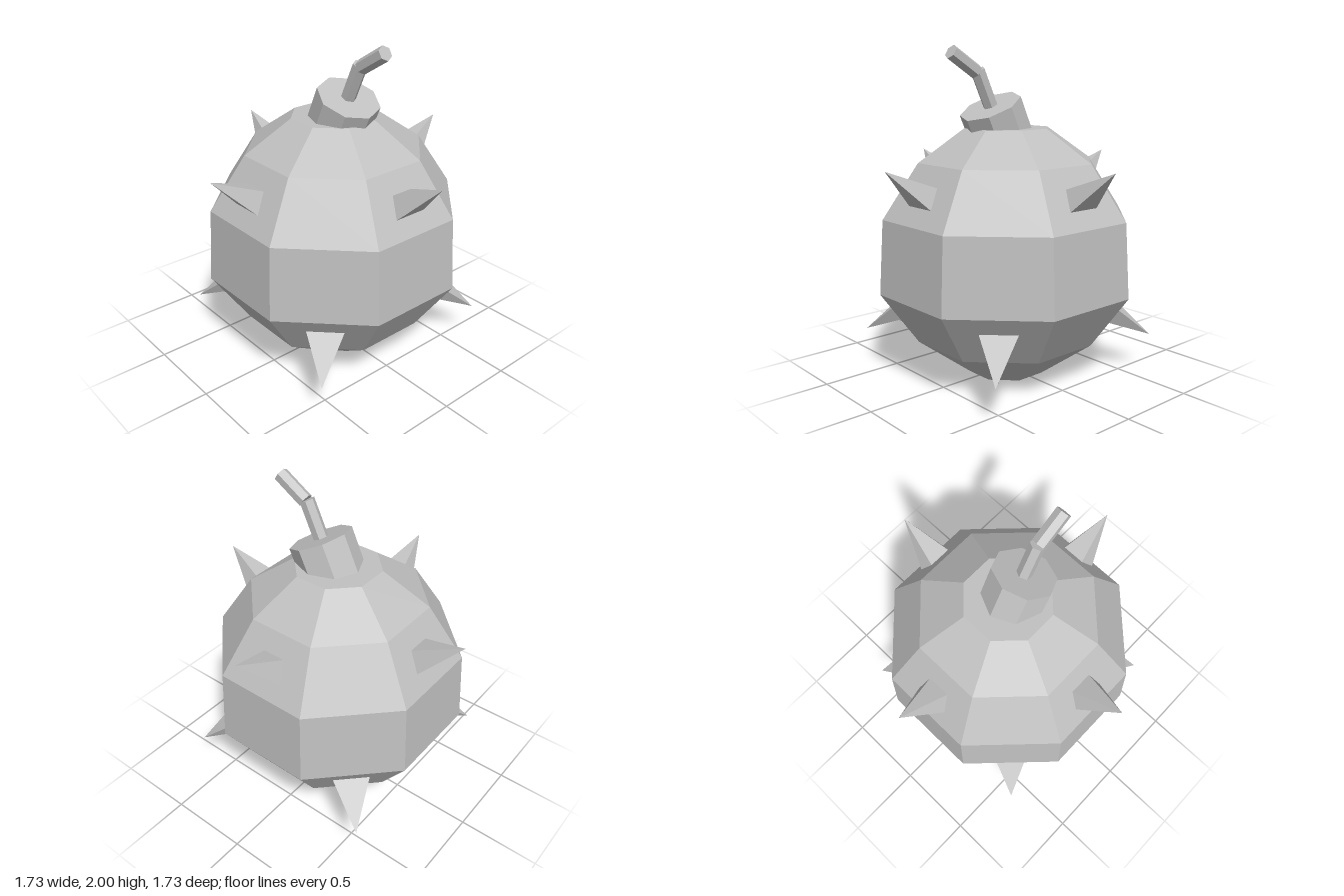
import * as THREE from 'three';

const metal = new THREE.MeshStandardMaterial({ color: 0xc0c0c0, flatShading: true });
metal.name = 'grey metal';

function addMesh(parent, name, geometry) {
  const mesh = new THREE.Mesh(geometry, metal);
  mesh.name = name;
  parent.add(mesh);
  return mesh;
}

// Prism between two points of the z = 0 plane, with a corner lying in that plane
function prism(from, to, radius, sides) {
  const a = new THREE.Vector2(...from), b = new THREE.Vector2(...to);
  const geometry = new THREE.CylinderGeometry(radius, radius, a.distanceTo(b), sides);
  geometry.rotateY(Math.PI / 2);
  geometry.rotateZ(Math.atan2(b.y - a.y, b.x - a.x) - Math.PI / 2);
  return geometry.translate((a.x + b.x) / 2, (a.y + b.y) / 2, 0);
}

// Four-sided spike pointing to +z; wide and narrow are base edges [halfWidth, y, z]
function spikeGeometry(tip, wide, narrow) {
  const apex = new THREE.Vector3(0, tip[0], tip[1]);
  // Corners run a little past the shell so the base is buried
  const corner = ([x, y, z], side) =>
    new THREE.Vector3(side * x, y, z).sub(apex).multiplyScalar(1.08).add(apex);
  const [low, high] = wide[1] < narrow[1] ? [wide, narrow] : [narrow, wide];
  const ring = [corner(low, -1), corner(low, 1), corner(high, 1), corner(high, -1)];
  const points = [];
  for (let i = 0; i < 4; i++) points.push(ring[i], ring[(i + 1) % 4], apex);
  points.push(ring[0], ring[2], ring[1], ring[0], ring[3], ring[2]);
  const geometry = new THREE.BufferGeometry().setFromPoints(points);
  geometry.computeVertexNormals();
  return geometry;
}

export function createModel() {
  const model = new THREE.Group();
  model.name = 'spikedBomb';

  // Eight-sided shell with flat sides facing the axes: [distance to side, height]
  const profile = [
    [0, 0], [0.225, 0], [0.52, 0.23], [0.73, 0.55],
    [0.705, 1], [0.505, 1.325], [0.245, 1.52], [0, 1.52],
  ].map(([r, y]) => new THREE.Vector2(r / Math.cos(Math.PI / 8), y));
  addMesh(model, 'shell', new THREE.LatheGeometry(profile, 8, Math.PI / 8));

  // Upper spikes on the axes, lower spikes on the diagonals
  const upper = spikeGeometry([1.327, 0.865], [0.105, 1.1, 0.642], [0.07, 1.215, 0.573]);
  const lower = spikeGeometry([0.235, 0.895], [0.11, 0.445, 0.66], [0.077, 0.34, 0.592]);
  for (let i = 0; i < 4; i++) {
    addMesh(model, 'upperSpike', upper).rotation.y = i * Math.PI / 2;
    addMesh(model, 'lowerSpike', lower).rotation.y = (i + 0.5) * Math.PI / 2;
  }

  // Tilted neck and bent fuse
  addMesh(model, 'neck', prism([0.02, 1.42], [0.128, 1.651], 0.19, 8));
  addMesh(model, 'fuseLower', prism([0.11, 1.62], [0.222, 1.86], 0.045, 6));
  addMesh(model, 'fuseUpper', prism([0.232, 1.85], [0.412, 1.96], 0.045, 6));

  return model;
}
